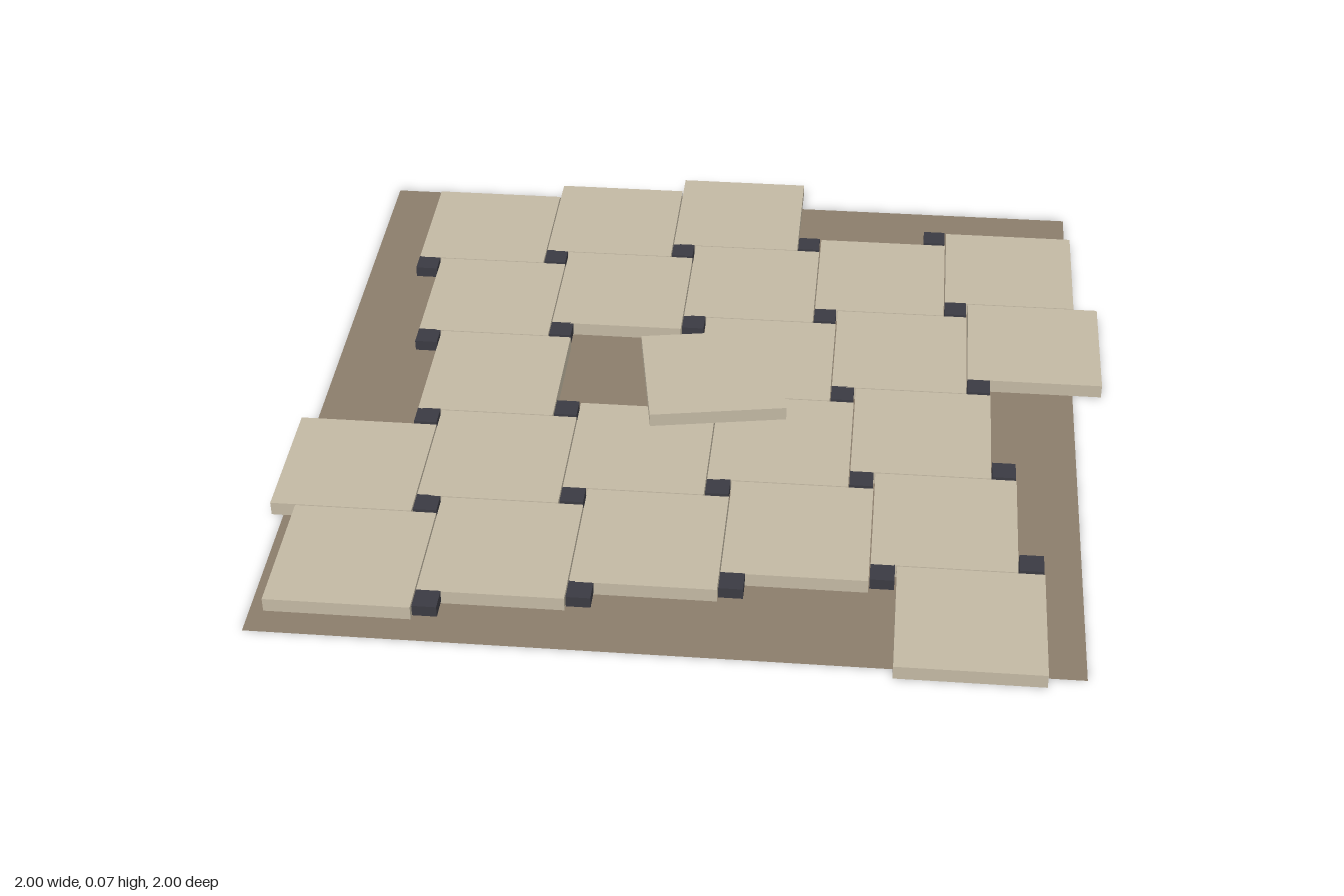
import * as THREE from 'three';

const paint = (name, color) => {
  const m = new THREE.MeshStandardMaterial({ color });
  m.name = name;
  return m;
};

export function createModel() {
  const stone = paint('pale stone', 0xc2b8a3);
  const slate = paint('dark slate', 0x3a3a42);
  const mortar = paint('brown mortar', 0x8b7d6b);
  mortar.side = THREE.DoubleSide;

  const model = new THREE.Group();
  model.name = 'pinwheelPaving';

  // Mortar bed: one thin sheet on the ground
  const bed = new THREE.Mesh(new THREE.PlaneGeometry(1.9, 1.9), mortar);
  bed.name = 'mortarBed';
  bed.rotation.x = -Math.PI / 2;
  bed.position.set(-0.022, 0, 0.018);
  model.add(bed);

  // Skewed square lattice shared by the large and small tiles
  const pitch = 0.344, shift = 0.061, size = 0.341, top = 0.037;
  const place = (mesh, x0, z0, col, row, y) =>
    mesh.position.set(x0 + col * pitch + row * shift, y, z0 - col * shift + row * pitch);

  // Large tiles: columns laid in each row, with one left out near the middle
  const slabHeight = 0.035;
  const slab = new THREE.BoxGeometry(size, slabHeight, size);
  const rows = [[0, 1, 2], [0, 1, 2, 3, 4], [0, 2, 3, 4], [-1, 0, 1, 2, 3], [-1, 0, 1, 2, 3], [3]];
  const largeTiles = new THREE.Group();
  largeTiles.name = 'largeTiles';
  rows.forEach((cols, row) => cols.forEach((col) => {
    const tile = new THREE.Mesh(slab, stone);
    tile.name = 'largeTile';
    place(tile, -0.6685, -0.7075, col, row, top - slabHeight / 2);
    largeTiles.add(tile);
  }));
  model.add(largeTiles);

  // Small dark tiles filling the pinwheel corners
  const insetHeight = 0.028;
  const inset = new THREE.BoxGeometry(0.057, insetHeight, 0.057);
  const smallTiles = new THREE.Group();
  smallTiles.name = 'smallTiles';
  for (let row = 0; row < 5; row++) {
    for (let col = 0; col < 5; col++) {
      const tile = new THREE.Mesh(inset, slate);
      tile.name = 'smallTile';
      place(tile, -0.811, -0.511, col, row, top - insetHeight / 2);
      smallTiles.add(tile);
    }
  }
  model.add(smallTiles);

  // Loose tile lying askew on top of the paving
  const loose = new THREE.Mesh(slab, stone);
  loose.name = 'looseTile';
  loose.position.set(0.011, top + 0.002 + slabHeight / 2, -0.02);
  loose.rotation.y = 0.17;
  model.add(loose);

  return model;
}
